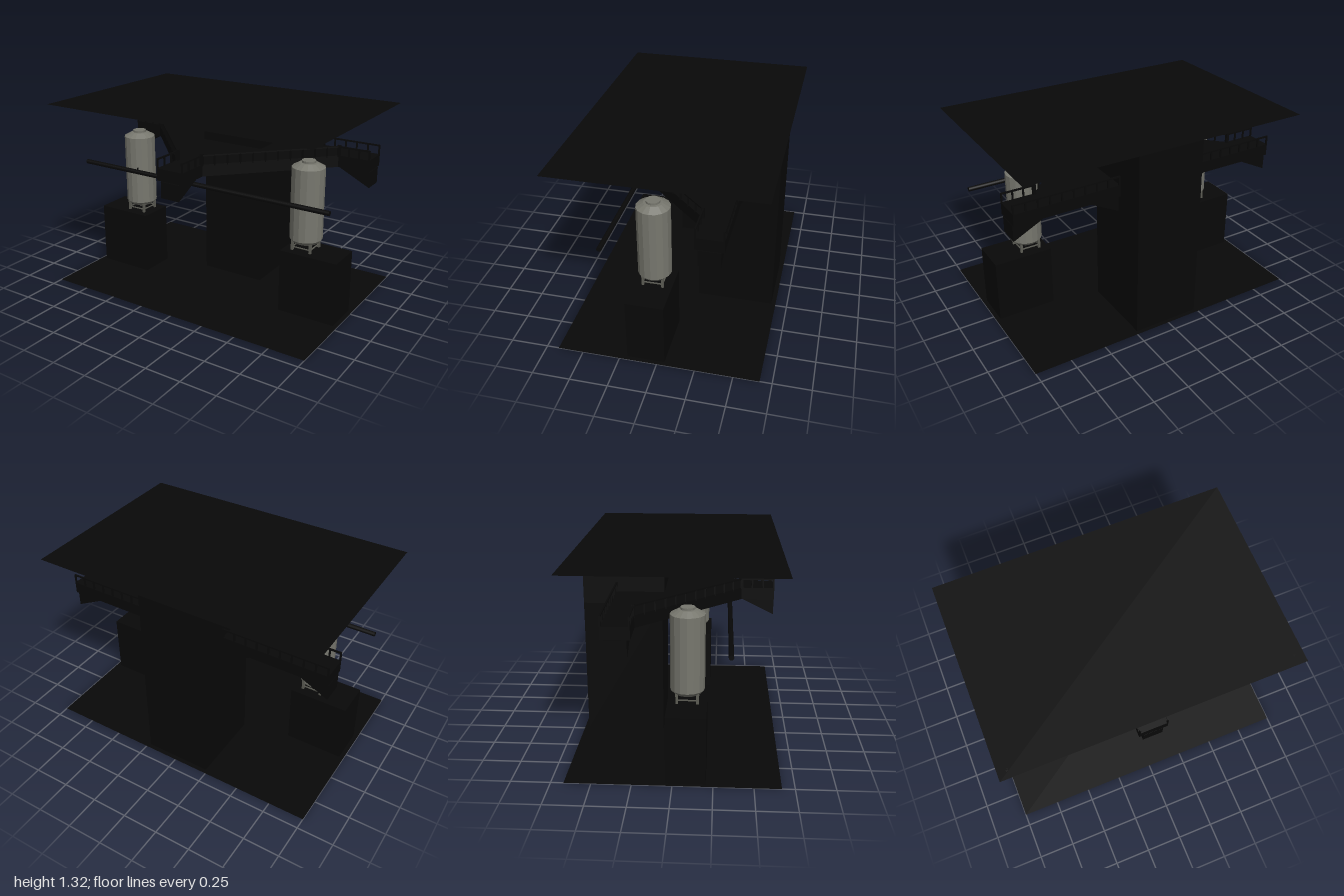
import * as THREE from 'three';

const mat = (name, color, extra = {}) => {
  const m = new THREE.MeshStandardMaterial({ color, ...extra });
  m.name = name;
  return m;
};

export function createModel() {
  const root = new THREE.Group();
  const black = mat('black structure', 0x080808);
  const sheet = mat('black sheet', 0x080808, { side: THREE.DoubleSide });
  const steel = mat('tank grey', 0x77776e, { flatShading: true });
  const legGrey = mat('leg grey', 0x5c5c54, { flatShading: true });

  const add = (parent, name, geo, material, x = 0, y = 0, z = 0) => {
    const m = new THREE.Mesh(geo, material);
    m.name = name;
    m.position.set(x, y, z);
    parent.add(m);
    return m;
  };
  // Box given by its limits on each axis
  const block = (parent, name, material, x0, x1, y0, y1, z0, z1) =>
    add(parent, name, new THREE.BoxGeometry(x1 - x0, y1 - y0, z1 - z0), material,
      (x0 + x1) / 2, (y0 + y1) / 2, (z0 + z1) / 2);
  // Square bar between two points
  const bar = (parent, name, a, b, t, material) => {
    const m = add(parent, name, new THREE.BoxGeometry(t, t, a.distanceTo(b) + t), material);
    m.position.copy(a).add(b).multiplyScalar(0.5);
    m.lookAt(b);
    return m;
  };

  // Floor and ceiling sheets
  for (const [name, y] of [['floor', 0], ['ceiling', 1.316]]) {
    add(root, name, new THREE.PlaneGeometry(2, 1.34).rotateX(-Math.PI / 2), sheet, 0, y, 0);
  }

  // Central column, slightly deeper above the walkway
  block(root, 'columnLower', black, -0.235, 0.235, 0, 0.927, -0.64, -0.11);
  block(root, 'columnUpper', black, -0.235, 0.235, 0.927, 1.314, -0.64, -0.095);

  // Walkway deck: front arm, two side arms and diagonal corners
  const half = [[0.1, 0.64], [0.1, 0.42], [0.75, -0.24], [0.97, -0.24], [0.97, -0.42]];
  const outline = [...half, ...half.map(([x, z]) => [-x, z]).reverse()];
  const deckShape = new THREE.Shape(outline.map(([x, z]) => new THREE.Vector2(x, -z)));
  const deckGeo = new THREE.ExtrudeGeometry(deckShape, { depth: 0.08, bevelEnabled: false });
  add(root, 'walkwayDeck', deckGeo.rotateX(-Math.PI / 2), black, 0, 0.93, 0);

  // Railings along the deck edges
  const railing = (pts, side) => {
    const g = new THREE.Group();
    g.name = 'railing';
    root.add(g);
    const at = ([x, z], y) => new THREE.Vector3(x * side, y, z);
    for (let i = 0; i + 1 < pts.length; i++) {
      const a = at(pts[i], 1.07), b = at(pts[i + 1], 1.07);
      bar(g, 'topRail', a, b, 0.01, black);
      const n = Math.max(1, Math.round(a.distanceTo(b) / 0.085));
      for (let k = 0; k <= n; k++) {
        const p = a.clone().lerp(b, k / n);
        block(g, 'railPost', black, p.x - 0.005, p.x + 0.005, 1.0, 1.07, p.z - 0.005, p.z + 0.005);
      }
    }
  };
  for (const s of [1, -1]) {
    railing([[0.095, 0.635], [0.095, 0.42], [0.75, -0.245], [0.965, -0.245]], s);
    railing([[0.24, -0.415], [0.965, -0.415]], s);
    // Thicker post at each turn of the railing
    for (const [x, z] of [[0.095, 0.42], [0.75, -0.245]]) {
      block(root, 'cornerPost', black, s * x - 0.01, s * x + 0.01, 1.0, 1.08, z - 0.01, z + 0.01);
    }
  }

  // Wedge brackets: deep at 'from', tapering to nothing at 'to', along x
  const wedgeGeo = (from, to, width) => {
    const pts = [[from, 0.815], [from, 0.925], [to, 0.925]];
    const shape = new THREE.Shape(pts.map(p => new THREE.Vector2(...p)));
    return new THREE.ExtrudeGeometry(shape, { depth: width, bevelEnabled: false })
      .translate(0, 0, -width / 2);
  };
  const wedge = (from, to, angle, z) =>
    add(root, 'bracket', wedgeGeo(from, to, 0.14), black, 0, 0, z).rotation.y = angle;
  for (const angle of [0, Math.PI]) {
    wedge(0.97, 0.75, angle, -0.33);
    wedge(0.235, 0.45, angle, -0.33);
  }
  wedge(0.64, 0.42, -Math.PI / 2, 0);
  wedge(-0.11, 0.1, -Math.PI / 2, 0);

  // Horizontal pipe with two small studs
  add(root, 'pipe', new THREE.CylinderGeometry(0.016, 0.016, 1.94, 10).rotateZ(Math.PI / 2), black, 0, 0.833, 0.345);

  // Tank body, lower rim and cap
  const profile = [[0, 0.478], [0.05, 0.478], [0.05, 0.492], [0.088, 0.495], [0.11, 0.52], [0.11, 1.01],
    [0.062, 1.037], [0.046, 1.039], [0.046, 1.053], [0, 1.053]].map(p => new THREE.Vector2(...p));

  for (const s of [1, -1]) {
    add(root, 'pipeStud', new THREE.CylinderGeometry(0.005, 0.005, 0.03, 6), black, s * 0.5, 0.848, 0.345);
    block(root, 'ceilingFitting', black, s * 0.945 - 0.011, s * 0.945 + 0.011, 1.312, 1.316, 0.6, 0.625);
    const cx = s * 0.767;
    block(root, 'pedestal', black, cx - 0.203, cx + 0.203, 0, 0.44, -0.045, 0.205);

    const tank = new THREE.Group();
    tank.name = 'tank';
    tank.position.set(s * 0.69, 0, 0.08);
    root.add(tank);
    add(tank, 'tankBody', new THREE.LatheGeometry(profile, 16), steel);
    add(tank, 'bottomOutlet', new THREE.CylinderGeometry(0.046, 0.046, 0.012, 12), black, 0, 0.478, 0);
    // Four legs joined by braces
    for (let i = 0; i < 4; i++) {
      const a = Math.PI / 4 + i * Math.PI / 2, b = a + Math.PI / 2, r = 0.092;
      const p = new THREE.Vector3(r * Math.cos(a), 0, r * Math.sin(a));
      const q = new THREE.Vector3(r * Math.cos(b), 0, r * Math.sin(b));
      add(tank, 'tankLeg', new THREE.BoxGeometry(0.016, 0.08, 0.016), legGrey, p.x, 0.48, p.z);
      const mid = p.clone().add(q).multiplyScalar(0.5);
      const alongX = Math.abs(p.x - q.x) > 0.01;
      add(tank, 'legBrace', new THREE.BoxGeometry(alongX ? 0.13 : 0.007, 0.007, alongX ? 0.007 : 0.13),
        legGrey, mid.x, 0.462, mid.z);
    }
  }
  return root;
}
